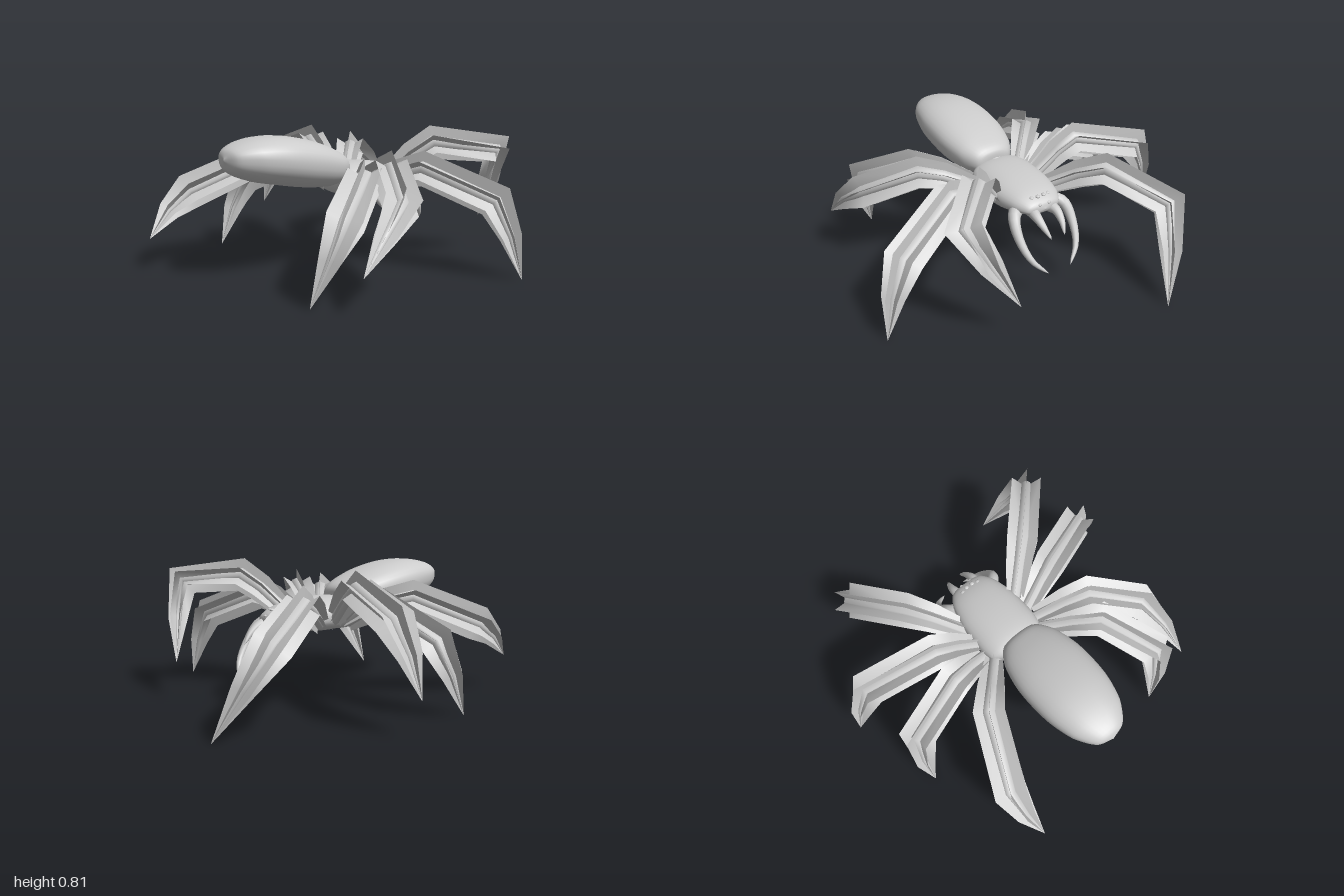
import * as THREE from 'three';

const V = (x, y, z) => new THREE.Vector3(x, y, z);
const smooth = new THREE.MeshStandardMaterial({ color: 0xcccccc });
const thin = new THREE.MeshStandardMaterial({ color: 0xcccccc, side: THREE.DoubleSide });

// Skins a list of rings (equal numbers of points); closed rings wrap around
function loft(rings, closed = true) {
  const n = rings[0].length, index = [];
  for (let r = 0; r < rings.length - 1; r++) {
    for (let i = 0; i < (closed ? n : n - 1); i++) {
      const j = (i + 1) % n, a = r * n + i, b = r * n + j;
      index.push(a, b, b + n, a, b + n, a + n);
    }
  }
  const g = new THREE.BufferGeometry().setFromPoints(rings.flat());
  g.setIndex(index);
  g.computeVertexNormals();
  return g;
}

function add(parent, name, geometry, material) {
  const m = new THREE.Mesh(geometry, material);
  m.name = name;
  parent.add(m);
  return m;
}

// Rounded body from sections [z, bottom, top, halfWidth, height of widest point]
function bodyGeometry(sections, steps, sides) {
  const a = new THREE.CatmullRomCurve3(sections.map(s => V(s[0], s[1], s[2])));
  const b = new THREE.CatmullRomCurve3(sections.map(s => V(s[3], s[4], 0)));
  const rings = [];
  for (let k = 0; k <= steps; k++) {
    const p = a.getPoint(k / steps), q = b.getPoint(k / steps);
    const ring = [];
    for (let i = 0; i < sides; i++) {
      const t = i / sides * Math.PI * 2, c = Math.cos(t), s = Math.sin(t);
      const x = Math.sign(c) * Math.abs(c) ** 0.85 * Math.max(q.x, 0);
      const h = s > 0 ? p.z - q.y : q.y - p.y;
      ring.push(V(x, q.y + Math.sign(s) * Math.abs(s) ** 0.9 * h, p.x));
    }
    rings.push(ring);
  }
  return loft(rings);
}

// Right and up axes at every point of a path
function frames(path, sideHint) {
  return path.map((p, i) => {
    const d = path[Math.min(i + 1, path.length - 1)].clone().sub(p).normalize();
    if (i > 0) d.add(p.clone().sub(path[i - 1]).normalize()).normalize();
    const right = sideHint.clone().addScaledVector(d, -sideHint.dot(d)).normalize();
    return { p, right, up: d.clone().cross(right) };
  });
}
const offset = (f, angle, r) => f.p.clone()
  .addScaledVector(f.right, Math.cos(angle) * r).addScaledVector(f.up, Math.sin(angle) * r);

function sweep(fr, radii, sides) {
  return loft(fr.map((f, k) => Array.from({ length: sides }, (_, i) =>
    offset(f, i / sides * Math.PI * 2, radii[k]))));
}

// Tapering curved horn for fangs and mouthparts
function horn(points, radius, sides = 12, steps = 14) {
  const path = new THREE.CatmullRomCurve3(points).getPoints(steps);
  const radii = path.map((_, i) => radius * Math.sqrt(1 - i / steps) * (1 - 0.25 * i / steps));
  return sweep(frames(path, V(1, 0, 0)), radii, sides);
}

// Leg core with a six-pointed star of bristle blades along it
function makeLeg(name, points) {
  const leg = new THREE.Group();
  leg.name = name;
  const [root, femur, knee, tip] = points.map(p => V(...p));
  const path = [V(root.x * 0.5, 0.45, root.z * 0.7), root, root.clone().lerp(femur, 0.55).add(V(0, 0.015, 0)),
    femur, knee, knee.clone().lerp(tip, 0.5).add(V(Math.sign(tip.x) * 0.012, 0.02, 0)), tip];
  const out = knee.clone().sub(root).setY(0).normalize();
  const fr = frames(path, V(0, 1, 0).cross(out));
  add(leg, 'legCore', sweep(fr, [0.04, 0.036, 0.036, 0.042, 0.036, 0.021, 0.001], 8), smooth);
  const spread = [0.6, 0.85, 1, 1.05, 0.62, 0.01];
  for (let i = 0; i < 6; i++) {
    const t = Math.PI / 6 + i * Math.PI / 3;
    add(leg, 'bristleBlade', loft(fr.slice(1).map((f, k) => [f.p.clone(), offset(f, t, 0.102 * spread[k])]), false), thin);
  }
  return leg;
}

export function createModel() {
  const spider = new THREE.Group();
  spider.name = 'spider';

  // Abdomen, raised towards the rear
  const abdomen = add(spider, 'abdomen', bodyGeometry([
    [0.075, 0.56, 0.57, 0, 0.565], [0.085, 0.51, 0.64, 0.11, 0.58], [0.18, 0.475, 0.695, 0.178, 0.6],
    [0.36, 0.485, 0.755, 0.214, 0.635], [0.56, 0.52, 0.786, 0.21, 0.665], [0.73, 0.56, 0.775, 0.17, 0.685],
    [0.845, 0.615, 0.735, 0.09, 0.685], [0.875, 0.675, 0.685, 0, 0.68]], 36, 32), smooth);
  abdomen.position.x = 0.013;

  // Head and thorax in one shell
  add(spider, 'cephalothorax', bodyGeometry([
    [-0.41, 0.475, 0.48, 0, 0.478], [-0.395, 0.45, 0.515, 0.1, 0.48], [-0.32, 0.43, 0.555, 0.152, 0.485],
    [-0.18, 0.405, 0.585, 0.186, 0.49], [-0.02, 0.4, 0.597, 0.193, 0.495], [0.07, 0.41, 0.592, 0.178, 0.505],
    [0.12, 0.46, 0.575, 0.11, 0.525], [0.135, 0.52, 0.53, 0, 0.525]], 32, 32), smooth);
  const waist = add(spider, 'waist', new THREE.SphereGeometry(0.07, 16, 12), smooth);
  waist.position.set(0, 0.53, 0.1);

  // Paired mouthparts and eyes
  for (const s of [-1, 1]) {
    add(spider, 'fang', horn([V(s * 0.11, 0.46, -0.29), V(s * 0.17, 0.44, -0.35), V(s * 0.185, 0.35, -0.42),
      V(s * 0.155, 0.24, -0.5), V(s * 0.075, 0.155, -0.555)], 0.042), smooth);
    add(spider, 'innerFang', horn([V(s * 0.058, 0.46, -0.36), V(s * 0.068, 0.45, -0.42),
      V(s * 0.062, 0.41, -0.48), V(s * 0.045, 0.355, -0.53)], 0.037), smooth);
    for (const [x, y, z] of [[0.02, 0.538, -0.36], [0.055, 0.535, -0.35], [0.092, 0.522, -0.342], [0.03, 0.505, -0.394]]) {
      const eye = add(spider, 'eye', new THREE.SphereGeometry(0.014, 10, 8), smooth);
      eye.position.set(s * x, y, z);
      eye.scale.y = 0.6;
    }
  }

  // Eight legs in a walking pose: root, femur end, knee, tip
  const legs = {
    rightFrontLeg: [[-0.18, 0.47, -0.18], [-0.4, 0.62, -0.44], [-0.6, 0.48, -0.76], [-0.42, 0, -1]],
    rightSecondLeg: [[-0.2, 0.5, -0.06], [-0.43, 0.68, -0.11], [-0.84, 0.57, -0.21], [-1, 0.2, -0.17]],
    rightThirdLeg: [[-0.2, 0.47, 0.02], [-0.43, 0.58, 0.06], [-0.78, 0.42, 0.15], [-0.83, 0, 0.32]],
    rightBackLeg: [[-0.17, 0.49, 0.09], [-0.4, 0.6, 0.33], [-0.565, 0.43, 0.72], [-0.54, 0.2, 1]],
    leftFrontLeg: [[0.19, 0.5, -0.16], [0.39, 0.71, -0.34], [0.64, 0.67, -0.61], [0.42, 0.22, -0.77]],
    leftSecondLeg: [[0.2, 0.47, -0.06], [0.46, 0.58, -0.16], [0.84, 0.42, -0.33], [0.99, 0, -0.38]],
    leftThirdLeg: [[0.2, 0.49, 0.03], [0.49, 0.61, 0.14], [0.745, 0.48, 0.34], [0.83, 0.2, 0.7]],
    leftBackLeg: [[0.17, 0.48, 0.09], [0.45, 0.58, 0.3], [0.63, 0.42, 0.62], [0.54, 0, 0.77]],
  };
  for (const [name, points] of Object.entries(legs)) spider.add(makeLeg(name, points));
  return spider;
}
